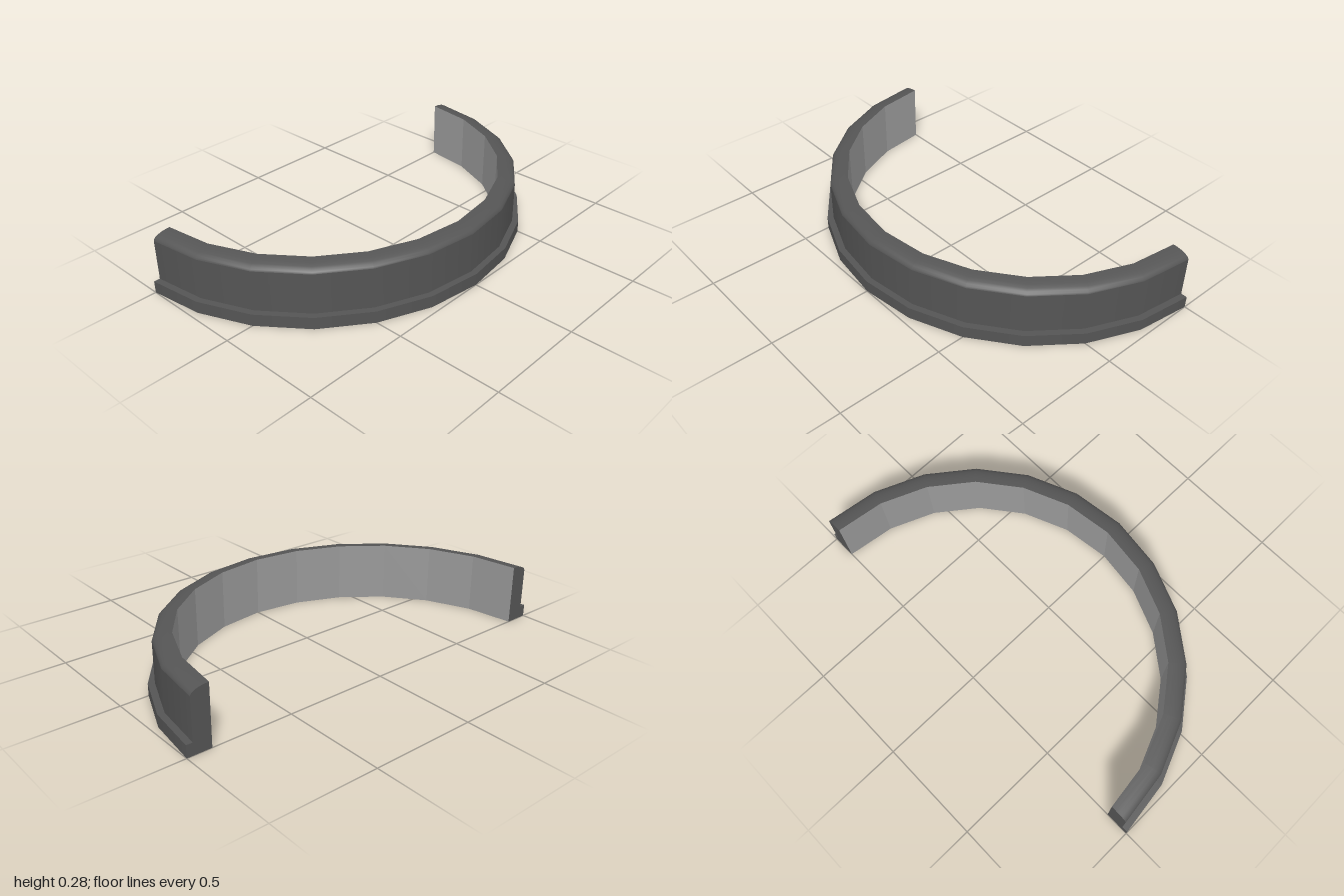
import * as THREE from 'three';

// Half ring with an outer foot flange and a rounded upper rim
const SEGMENTS = 12;
const INNER = 0.885, BODY = 0.97, FLANGE = 1;
const STEP = 0.058, SHOULDER = 0.253, TOP = 0.285;

export function createModel() {
  const group = new THREE.Group();
  group.name = 'halfRing';

  const dark = new THREE.MeshStandardMaterial({ color: 0x555555 });
  const light = new THREE.MeshStandardMaterial({ color: 0x999999, flatShading: true });

  const add = (name, geometry, material) => {
    const mesh = new THREE.Mesh(geometry, material);
    mesh.name = name;
    mesh.position.x = -0.5;
    group.add(mesh);
  };

  // Sweep one strip of the profile through half a turn; separate strips keep creases sharp
  const sweep = (points) => new THREE.LatheGeometry(
    points.map(([r, y]) => new THREE.Vector2(r, y)), SEGMENTS, 0, Math.PI);

  // Quarter-ellipse rounding from the shoulder up to the inner edge
  const rim = [];
  for (let i = 0; i <= 6; i++) {
    const a = (i / 6) * Math.PI / 2;
    rim.push([INNER + (BODY - INNER) * Math.cos(a), SHOULDER + (TOP - SHOULDER) * Math.sin(a)]);
  }

  add('underside', sweep([[INNER, 0], [FLANGE, 0]]), dark);
  add('flangeSide', sweep([[FLANGE, 0], [FLANGE, STEP]]), dark);
  add('flangeTop', sweep([[FLANGE, STEP], [BODY, STEP]]), dark);
  add('outerWall', sweep([[BODY, STEP], [BODY, SHOULDER]]), dark);
  add('roundedRim', sweep(rim), dark);
  add('innerWall', sweep([[INNER, TOP], [INNER, 0]]), light);

  // Flat cut faces closing both ends, facing -x
  const section = [[INNER, 0], [FLANGE, 0], [FLANGE, STEP], [BODY, STEP], ...rim];
  for (const side of [1, -1]) {
    const shape = new THREE.Shape(section.map(([r, y]) => new THREE.Vector2(side * r, y)));
    const cap = new THREE.ShapeGeometry(shape).rotateY(-Math.PI / 2);
    add(side > 0 ? 'frontEnd' : 'backEnd', cap, dark);
  }

  return group;
}
